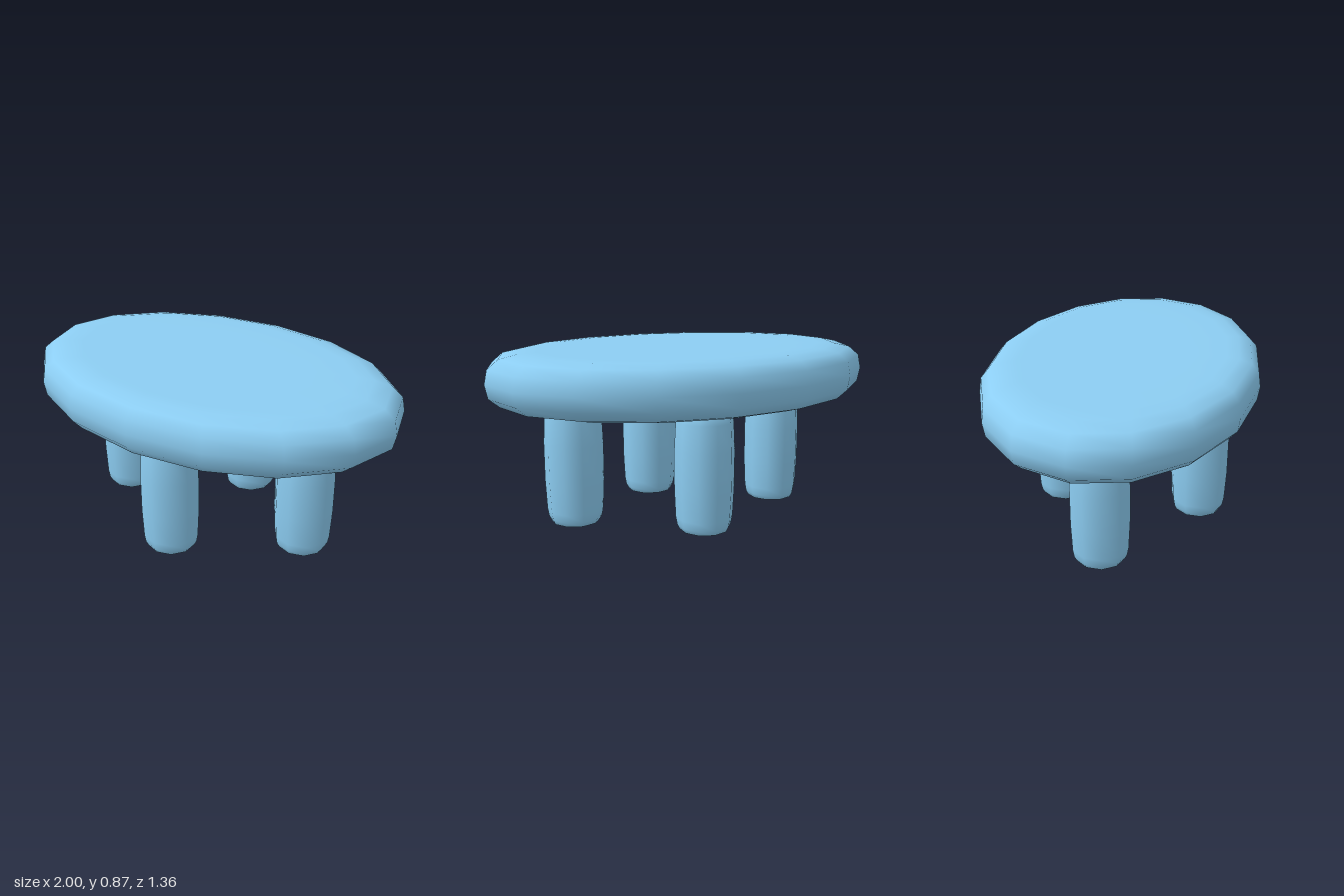
import * as THREE from 'three';

const blue = new THREE.MeshStandardMaterial({ color: 0x8ccdf2 });

// Smooth solid of revolution from [radius, y] pairs, bottom to top
function turned(name, profile, sides) {
  const points = profile.map(([r, y]) => new THREE.Vector2(r, y));
  const mesh = new THREE.Mesh(new THREE.LatheGeometry(points, sides), blue);
  mesh.name = name;
  return mesh;
}

export function createModel() {
  const table = new THREE.Group();
  table.name = 'table';

  // Oval top with a rounded rim
  const rim = [[0.75, 0.138], [0.84, 0.134], [0.93, 0.115], [0.985, 0.07]];
  const lower = rim.map(([r, h]) => [r, 0.735 - h]);
  const upper = rim.map(([r, h]) => [r, 0.735 + h]).reverse();
  const top = turned('tableTop',
    [[0, 0.596], [0.55, 0.596], ...lower, [1, 0.735], ...upper, [0.55, 0.874], [0, 0.874]], 16);
  top.scale.z = 0.68;
  table.add(top);

  // Four barrel-shaped legs in a diamond
  const legProfile = [[0, 0], [0.1, 0], [0.122, 0.006], [0.134, 0.03], [0.141, 0.07], [0.148, 0.22],
    [0.148, 0.41], [0.141, 0.55], [0.131, 0.6], [0.1, 0.63], [0, 0.63]];
  const legs = [
    ['frontLeg', 0.023, 0.393],
    ['backLeg', 0.023, -0.347],
    ['leftLeg', 0.57, 0.025],
    ['rightLeg', -0.55, 0.013],
  ];
  for (const [name, x, z] of legs) {
    const leg = turned(name, legProfile, 10);
    leg.position.set(x, 0, z);
    table.add(leg);
  }
  return table;
}
